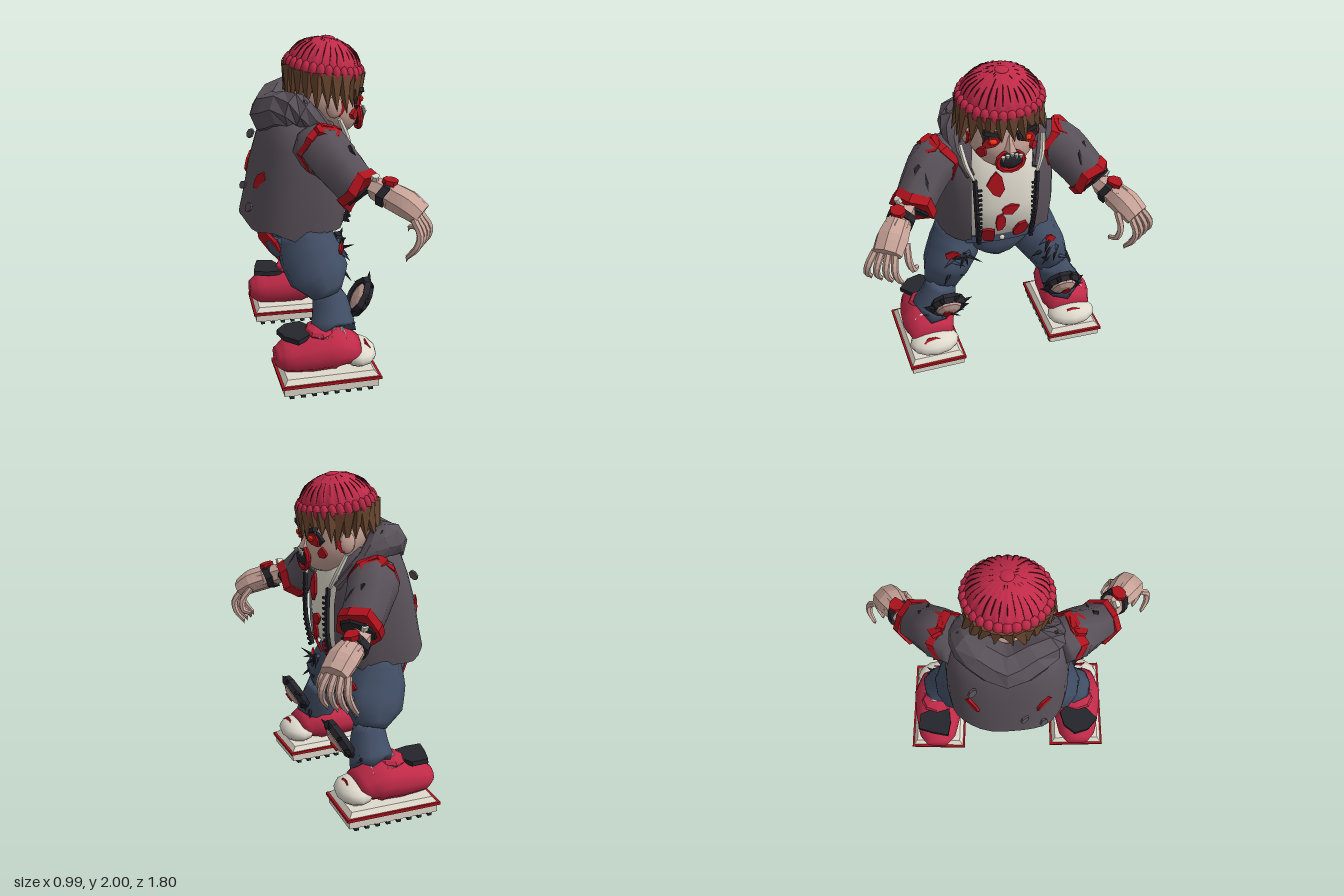
import * as THREE from 'three';

const C = { red: 0xc02a48, blood: 0xae121c, skin: 0xc8a398, jacket: 0x595159, jeans: 0x424f66, white: 0xdfdacd,
  brown: 0x69462f, black: 0x25252c, glow: 0xff3018, darkRed: 0x4a0f1a };
const V = (x, y, z) => new THREE.Vector3(x, y, z);
const UP = V(0, 1, 0);
const mat = (color, flat) => new THREE.MeshStandardMaterial({ color, flatShading: !!flat, side: THREE.DoubleSide });
let seed = 7;
const rnd = (a = 0, b = 1) => { seed = (seed * 16807) % 2147483647; return a + (b - a) * seed / 2147483647; };

function add(parent, name, geo, color, flat, pos) {
  const m = new THREE.Mesh(geo, mat(color, flat));
  m.name = name;
  if (pos) m.position.set(...pos);
  parent.add(m);
  return m;
}

function meshGeo(pos, idx) {
  const g = new THREE.BufferGeometry();
  g.setAttribute('position', new THREE.Float32BufferAttribute(pos, 3));
  g.setIndex(idx);
  g.computeVertexNormals();
  return g;
}

// Rounded tube through points; each radius is a number or [across, deep]
function limb(points, radii, sides = 10, ref = V(1, 0, 0), jag = 0) {
  const curve = new THREE.CatmullRomCurve3(points.map(p => V(...p)));
  const n = (points.length - 1) * 3, pos = [], idx = [];
  const rad = (t, k) => {
    const f = t * (radii.length - 1), i = Math.min(Math.floor(f), radii.length - 2);
    const g = r => Array.isArray(r) ? r[k] : r;
    return THREE.MathUtils.lerp(g(radii[i]), g(radii[i + 1]), f - i);
  };
  for (let i = 0; i <= n; i++) {
    const t = i / n, c = curve.getPoint(t), T = curve.getTangent(t);
    const u = V(0, 0, 0).crossVectors(T, ref).normalize(), v = V(0, 0, 0).crossVectors(T, u);
    for (let j = 0; j < sides; j++) {
      const a = j / sides * Math.PI * 2;
      const p = c.clone().addScaledVector(u, Math.cos(a) * rad(t, 0)).addScaledVector(v, Math.sin(a) * rad(t, 1));
      if (i === n || i === 0) p.addScaledVector(T, (j % 2 - 0.5) * jag);
      pos.push(p.x, p.y, p.z);
      if (i < n) {
        const k = (j + 1) % sides, A = i * sides + j, B = i * sides + k;
        idx.push(A, B, B + sides, A, B + sides, A + sides);
      }
    }
  }
  const s = pos.length / 3;
  [0, 1].forEach(e => { const c = curve.getPoint(e); pos.push(c.x, c.y, c.z); });
  for (let j = 0; j < sides; j++) {
    const k = (j + 1) % sides;
    idx.push(s, k, j, s + 1, n * sides + j, n * sides + k);
  }
  return meshGeo(pos, idx);
}

// Upright shell from [y, xBack, xFront, halfWidth] rows, open by gap at the front
function shell(rows, gap, hem = () => 0, n = 28) {
  const pos = [], idx = [], sp = v => Math.sign(v) * Math.abs(v) ** 0.8;
  rows.forEach(([y, xb, xf, w], i) => {
    for (let j = 0; j <= n; j++) {
      const a = gap + (2 * Math.PI - 2 * gap) * j / n;
      pos.push((xb + xf) / 2 + (xf - xb) / 2 * sp(Math.cos(a)), y + (i ? 0 : hem(a)), w * sp(Math.sin(a)));
      if (i && j) {
        const d = i * (n + 1) + j, b = d - n - 1;
        idx.push(b - 1, d, b, b - 1, d - 1, d);
      }
    }
  });
  return meshGeo(pos, idx);
}

// Thin torn scrap facing a normal
function scrap(parent, name, color, pos, normal, a, b, thick = 0.015) {
  const g = new THREE.CylinderGeometry(1, 1, 1, 7), p = g.attributes.position, k = [];
  for (let i = 0; i < 7; i++) k.push(rnd(0.7, 1.15));
  for (let i = 0; i < p.count; i++) {
    const f = k[(Math.round(Math.atan2(p.getX(i), p.getZ(i)) / (2 * Math.PI) * 7) + 7) % 7];
    p.setXYZ(i, p.getX(i) * f * a, p.getY(i) * thick, p.getZ(i) * f * b);
  }
  const m = add(parent, name, g, color, true, pos);
  m.quaternion.setFromUnitVectors(UP, V(...normal).normalize());
}

// Spike from a base point along a direction
function spike(parent, name, color, base, dir, len, r) {
  const m = add(parent, name, new THREE.ConeGeometry(r, len, 5).translate(0, len / 2, 0), color, true, base);
  m.quaternion.setFromUnitVectors(UP, V(...dir).normalize());
}

const ball = (rx, ry, rz, w = 14, h = 10) => new THREE.SphereGeometry(1, w, h).scale(rx, ry, rz);

function buildHead() {
  const g = new THREE.Group(); g.name = 'head';
  const skull = ball(0.19, 0.23, 0.21, 20, 14), p = skull.attributes.position;
  for (let i = 0; i < p.count; i++) if (p.getY(i) < 0) p.setX(i, p.getX(i) - p.getY(i) * 0.35);
  skull.computeVertexNormals();
  add(g, 'skull', skull, C.skin, false, [0.04, 1.645, 0]);
  add(g, 'neck', limb([[-0.05, 1.4, 0], [0, 1.55, 0]], [0.12, 0.12]), C.skin);
  spike(g, 'nose', C.skin, [0.24, 1.565, 0], [-0.15, 1, 0], 0.11, 0.04);
  for (const s of [1, -1]) {
    scrap(g, 'eyeSocket', C.black, [0.22, 1.645, s * 0.105], [1, 0, s * 0.45], 0.045, 0.075, 0.02);
    scrap(g, 'eyeWound', C.blood, [0.225, 1.635, s * 0.105], [1, 0, s * 0.4], 0.035, 0.055, 0.03);
    add(g, 'eye', ball(0.02, 0.018, 0.03, 8, 6), C.glow, true, [0.24, 1.64, s * 0.1]);
    add(g, 'brow', new THREE.BoxGeometry(0.03, 0.025, 0.11), C.black, true, [0.235, 1.685, s * 0.1]).rotation.x = -s * 0.35;
    scrap(g, 'cheekWound', C.blood, [0.19, 1.56, s * 0.15], [0.8, 0, s * 0.7], 0.03, 0.035, 0.025);
    add(g, 'ear', ball(0.05, 0.065, 0.025, 8, 6), C.skin, false, [0.06, 1.62, s * 0.21]);
    scrap(g, 'earWound', C.blood, [0.1, 1.61, s * 0.21], [0.3, 0, s], 0.025, 0.045);
  }
  // Open mouth
  add(g, 'mouth', ball(0.045, 0.06, 0.075, 10, 8), C.black, true, [0.245, 1.52, 0]);
  add(g, 'lips', new THREE.TorusGeometry(0.07, 0.016, 6, 12).rotateY(Math.PI / 2).scale(1, 0.9, 1.1), C.blood, true, [0.25, 1.505, 0]);
  for (let i = -2; i <= 2; i++)
    spike(g, 'tooth', C.white, [0.28, 1.57 - Math.abs(i) * 0.007, i * 0.026], [0, -1, 0], 0.035, 0.014);
  // Hair locks, flaring outward below the hat
  add(g, 'hairCap', ball(0.215, 0.13, 0.23), C.brown, true, [0.02, 1.77, 0]);
  for (let i = 0; i < 26; i++) {
    const a = i / 26 * Math.PI * 2, c = Math.cos(a), s = Math.sin(a);
    const len = 0.13 + (c < 0.4 ? 0.04 : 0) + rnd(0, 0.06);
    spike(g, 'hairLock', C.brown, [0.035 + 0.2 * c, 1.81 - 0.03 * c, 0.215 * s], [c * 0.2, -1, s * 0.25 + rnd(-0.3, 0.3)], len, 0.055);
  }
  return g;
}

function buildHat() {
  const g = new THREE.Group(); g.name = 'knitHat';
  const dome = new THREE.SphereGeometry(1, 96, 10, 0, Math.PI * 2, 0, Math.PI / 2), p = dome.attributes.position;
  for (let i = 0; i < p.count; i++) {
    const k = 1 + 0.02 * Math.cos(24 * Math.atan2(p.getZ(i), p.getX(i)));
    p.setXYZ(i, p.getX(i) * k * 0.222, p.getY(i) * 0.175, p.getZ(i) * k * 0.235);
  }
  dome.computeVertexNormals();
  add(g, 'hatDome', dome, C.red);
  for (let i = 0; i < 30; i++) {
    const a = i / 30 * Math.PI * 2, c = Math.cos(a), s = Math.sin(a);
    add(g, 'brimRib', ball(0.028, 0.05, 0.034, 7, 6), C.red, false, [0.216 * c, 0, 0.231 * s]);
    const pt = t => [0.224 * c * Math.sin(t), 0.177 * Math.cos(t), 0.237 * s * Math.sin(t)];
    add(g, 'knitGroove', limb([pt(rnd(0.2, 0.7)), pt(0.9), pt(rnd(1.1, 1.4))], [0.002, 0.004, 0.002], 4, V(0.3, 1, 0.2)), C.darkRed, true);
  }
  add(g, 'hatButton', ball(0.04, 0.012, 0.04), C.red, false, [0, 0.173, 0]);
  g.position.set(0.04, 1.818, 0);
  g.rotation.z = -0.17;
  return g;
}

function buildTorso() {
  const g = new THREE.Group(); g.name = 'torso';
  add(g, 'shirt', shell([[0.88, -0.2, 0.075, 0.23], [1.0, -0.25, 0.155, 0.26], [1.15, -0.3, 0.175, 0.27],
    [1.35, -0.28, 0.15, 0.26], [1.48, -0.25, 0.11, 0.2], [1.55, -0.2, 0.04, 0.12]], 0), C.white);
  const hem = a => 0.06 * Math.max(0, -Math.cos(a)) + 0.05 * Math.max(0, Math.cos(a)) ** 2 + 0.015 * Math.sin(7 * a);
  add(g, 'jacket', shell([[0.875, -0.48, 0.15, 0.36], [1.05, -0.45, 0.17, 0.37], [1.25, -0.41, 0.17, 0.365],
    [1.4, -0.365, 0.14, 0.35], [1.52, -0.32, 0.08, 0.31], [1.58, -0.25, 0.0, 0.2]], 0.5, hem), C.jacket);
  add(g, 'hood', limb([[0.12, 1.36, 0.2], [-0.03, 1.53, 0.265], [-0.17, 1.615, 0.215], [-0.27, 1.55, 0],
    [-0.17, 1.615, -0.215], [-0.03, 1.53, -0.265], [0.12, 1.36, -0.2]], [0.025, 0.05, 0.105, 0.135, 0.105, 0.05, 0.025], 8), C.jacket, true);
  for (const s of [1, -1]) {
    add(g, 'hoodString', limb([[0.08, 1.56, s * 0.25], [0.13, 1.45, s * 0.23], [0.165, 1.35, s * 0.19]], [0.014, 0.016, 0.01], 5), C.white, true);
    spike(g, 'hoodPeak', C.jacket, [-0.08, 1.56, s * 0.24], [-0.4, 1, s * 0.25], 0.15, 0.07);
    add(g, 'zipStrip', limb([[0.17, 1.36, s * 0.19], [0.175, 1.1, s * 0.18], [0.14, 0.9, s * 0.165]], [0.016, 0.016, 0.016], 5), C.black, true);
    for (let i = 0; i < 13; i++)
      add(g, 'zipTooth', new THREE.BoxGeometry(0.014, 0.012, 0.025), C.black, true, [0.188 - 0.03 * (i < 5 ? 1 - i / 5 : 0), 0.9 + i * 0.033, s * 0.165]);
    scrap(g, 'hemWound', C.blood, [0.135, 0.94, s * 0.1], [1, -0.4, s * 0.2], 0.07, 0.05);
    scrap(g, 'backWound', C.blood, [-0.385, 1.2, s * 0.21], [-0.8, 0, s * 0.6], 0.07, 0.04);
    scrap(g, 'hemTear', C.blood, [-0.32, 0.79, s * 0.17], [-1, -0.5, s * 0.4], 0.12, 0.13, 0.02);
    scrap(g, 'seatFlap', C.jeans, [-0.29, 0.79, s * 0.23], [-0.8, -0.2, s * 0.6], 0.08, 0.08, 0.03);
  }
  scrap(g, 'chestWound', C.blood, [0.165, 1.31, 0.06], [1, 0.1, 0.1], 0.09, 0.05);
  scrap(g, 'bellyWound', C.blood, [0.18, 1.13, -0.02], [1, 0, 0], 0.035, 0.06);
  scrap(g, 'bellyWound', C.blood, [0.165, 1.03, 0.03], [1, -0.1, 0], 0.07, 0.04);
  for (const [x, y, z] of [[-0.47, 1.15, 0.1], [-0.45, 1.05, 0.22], [-0.38, 1.38, -0.2]])
    scrap(g, 'backScrap', C.jacket, [x, y, z], [-1, 0.3, 0.6], 0.035, 0.025);
  // Seat of the jeans and belt
  add(g, 'hips', shell([[0.67, -0.13, 0.0, 0.04], [0.72, -0.24, 0.05, 0.13], [0.79, -0.29, 0.07, 0.23], [0.89, -0.29, 0.07, 0.32]], 0), C.jeans);
  add(g, 'belt', shell([[0.84, -0.3, 0.085, 0.32], [0.89, -0.3, 0.085, 0.32]], 0), C.jeans, true);
  add(g, 'beltButton', ball(0.012, 0.018, 0.018, 8, 6), C.white, false, [0.09, 0.865, 0]);
  return g;
}

function buildArm(s) {
  const g = new THREE.Group(); g.name = s > 0 ? 'rightArm' : 'leftArm';
  add(g, 'sleeve', limb([[-0.1, 1.42, s * 0.27], [-0.03, 1.41, s * 0.38], [0.05, 1.32, s * 0.475], [0.125, 1.23, s * 0.545]], [0.13, 0.15, 0.135, 0.125], 8), C.jacket);
  add(g, 'shoulderTear', limb([[-0.055, 1.425, s * 0.33], [-0.035, 1.415, s * 0.365]], [0.15, 0.154], 8, V(1, 0, 0), 0.04), C.blood, true);
  add(g, 'cuffTear', limb([[0.105, 1.245, s * 0.53], [0.14, 1.215, s * 0.56]], [0.14, 0.14], 8, V(1, 0, 0), 0.03), C.blood, true);
  add(g, 'cuffInside', limb([[0.14, 1.215, s * 0.56], [0.148, 1.205, s * 0.567]], [0.115, 0.105], 8), C.black, true);
  scrap(g, 'shoulderPatch', C.blood, [-0.02, 1.53, s * 0.4], [0.3, 1, s * 0.4], 0.08, 0.06, 0.03);
  scrap(g, 'sleeveTear', C.black, [0.13, 1.4, s * 0.49], [1, 0.7, s * 0.4], 0.08, 0.035);
  // Forearm and hand, one slightly lower than the other
  const h = new THREE.Group(); h.name = 'hand';
  const d = V(0.19, -0.085, s * 0.13), q = V(-0.58, 0, s * 0.81), w = [0.2, 1.255, s * 0.615];
  const at = (f, side, drop) => [w[0] + d.x * f + q.x * side, w[1] + d.y * f - drop, w[2] + d.z * f + q.z * side];
  add(h, 'forearm', limb([at(-0.05, 0, 0), at(0.3, 0, 0), at(0.6, 0, 0)], [0.065, 0.072, 0.08], 7, UP, 0.03), C.skin, true);
  add(h, 'palm', limb([at(0.4, 0, 0), at(0.8, 0, 0), at(1.16, 0, 0.02)], [[0.078, 0.08], [0.095, 0.08], [0.09, 0.062]], 8, UP), C.skin, true);
  add(h, 'wristBand', limb([at(0.15, 0, 0), at(0.33, 0, 0)], [0.085, 0.085], 8, UP, 0.015), C.black, true);
  scrap(h, 'wristWound', C.blood, at(0.4, 0, -0.08), [0.2, 1, 0.1 * s], 0.05, 0.045, 0.03);
  scrap(h, 'boneShard', C.white, at(0.05, 0.03, -0.075), [0, 1, s * 0.5], 0.025, 0.02, 0.03);
  for (let i = 0; i < 5; i++) {
    const k = (i - 2) / 2, thumb = i === 0, f = thumb ? 0.75 : 1.08, r = 0.021;
    const b = at(f, k * 0.08, 0.03), m = at(f + 0.22, k * 0.11, 0.09), t = at(f - 0.05, k * 0.13, thumb ? 0.19 : 0.235);
    add(h, 'finger', limb([b, m, at(f + 0.16, k * 0.128, 0.16), t], [r, r, 0.019, 0.013], 6, q), C.skin, true);
    spike(h, 'nail', C.skin, t, [-0.2, -1, 0], 0.03, 0.012);
  }
  if (s < 0) h.position.set(-0.05, -0.075, 0);
  g.add(h);
  return g;
}

function buildLeg(s) {
  const g = new THREE.Group(); g.name = s > 0 ? 'rightLeg' : 'leftLeg';
  add(g, 'thigh', limb([[-0.12, 0.87, s * 0.22], [-0.1, 0.75, s * 0.265], [-0.055, 0.63, s * 0.335], [-0.02, 0.52, s * 0.38]],
    [[0.155, 0.16], [0.16, 0.19], [0.14, 0.185], [0.11, 0.09]], 10), C.jeans);
  add(g, 'shin', limb([[-0.01, 0.53, s * 0.375], [0.0, 0.43, s * 0.41], [0.0, 0.33, s * 0.455]], [[0.1, 0.1], [0.115, 0.12], [0.13, 0.14]], 9, V(1, 0, 0), 0.04), C.jeans);
  // Exposed knee with its torn rim
  const k = new THREE.Group(); k.name = 'kneePiece';
  add(k, 'knee', ball(0.1, 0.045, 0.088, 10, 6), C.skin, true);
  add(k, 'kneeRim', new THREE.TorusGeometry(0.1, 0.024, 5, 9).rotateX(Math.PI / 2).scale(1.1, 1.4, 0.95), C.black, true, [0, -0.012, 0]);
  scrap(k, 'kneeWound', C.blood, [0.01, 0.04, s * 0.015], [0, 1, 0], 0.035, 0.03, 0.02);
  for (let i = 0; i < 8; i++) {
    const a = i / 8 * Math.PI * 2 + 0.3, c = Math.cos(a), z = Math.sin(a);
    spike(k, 'kneeFray', C.black, [0.11 * c, 0, 0.095 * z], [c + rnd(-1, 1), rnd(-0.6, 0.2), z + rnd(-1, 1)], rnd(0.04, 0.08), 0.018);
  }
  k.position.set(0.19, 0.48, s * 0.38);
  k.quaternion.setFromUnitVectors(UP, V(0.85, -0.5, 0).normalize());
  g.add(k);
  scrap(g, 'thighWound', C.blood, [0.08, 0.78, s * 0.32], [1, 0.1, s * 0.4], 0.03, 0.05);
  // Frayed threads around tears
  for (let i = 0; i < 16; i++) {
    const thigh = i < 9, y = thigh ? rnd(0.62, 0.8) : rnd(0.34, 0.4), zc = 0.56 - y * 0.36;
    spike(g, 'fray', i % 3 ? C.black : C.jeans, [0.085, y, s * (zc + rnd(-0.08, 0.08))], [rnd(0.1, 0.5), rnd(-0.5, 0.5), rnd(-1, 1)], rnd(0.06, 0.12), 0.016);
  }
  // Shoe
  const f = new THREE.Group(); f.name = 'shoe';
  add(f, 'shoeUpper', limb([[-0.31, 0.2, 0], [-0.25, 0.2, 0], [-0.1, 0.22, 0], [0.05, 0.235, 0], [0.18, 0.2, 0]],
    [[0.07, 0.05], [0.12, 0.095], [0.155, 0.125], [0.17, 0.135], [0.13, 0.08]], 12, UP), C.red);
  add(f, 'toeCap', ball(0.115, 0.072, 0.16, 12, 8), C.white, false, [0.19, 0.18, 0]);
  scrap(f, 'toeWound', C.blood, [0.25, 0.225, 0.01], [0.8, 0.6, 0], 0.035, 0.06);
  const sole = new THREE.BoxGeometry(0.58, 0.035, 0.35), sp = sole.attributes.position;
  for (let i = 0; i < sp.count; i++) if (sp.getY(i) > 0) sp.setXYZ(i, sp.getX(i) * 0.9, sp.getY(i), sp.getZ(i) * 0.84);
  add(f, 'soleTop', sole, C.white, true, [0, 0.1, 0]);
  add(f, 'sole', new THREE.BoxGeometry(0.57, 0.06, 0.34), C.white, true, [0, 0.053, 0]);
  add(f, 'soleStripe', new THREE.BoxGeometry(0.6, 0.018, 0.365), C.blood, true, [0, 0.08, 0]);
  for (let i = 0; i < 8; i++) add(f, 'tread', new THREE.BoxGeometry(0.026, 0.026, 0.33), C.black, true, [-0.24 + i * 0.068, 0.013, 0]);
  scrap(f, 'heelCollar', C.black, [-0.19, 0.34, 0], [0.06, 1, 0], 0.115, 0.125, 0.03);
  add(f, 'tongue', ball(0.09, 0.04, 0.11, 8, 6), C.red, true, [-0.04, 0.345, 0]);
  for (let i = 0; i < 4; i++)
    for (const e of [1, -1]) {
      const x = -0.06 + i * 0.045, y = 0.39 - i * 0.01;
      add(f, 'lace', limb([[x, y - 0.05, -e * 0.1], [x + 0.015, y, 0], [x + 0.03, y - 0.05, e * 0.1]], [0.007, 0.007, 0.007], 4), C.white, true);
    }
  f.position.set(s > 0 ? -0.045 : -0.065, 0, s * 0.475);
  f.rotation.y = s * 0.02;
  g.add(f);
  return g;
}

export function createModel() {
  seed = 7;
  const model = new THREE.Group(); model.name = 'undeadFigure';
  model.add(buildHead(), buildHat(), buildTorso());
  for (const s of [1, -1]) model.add(buildArm(s), buildLeg(s));
  return model;
}
